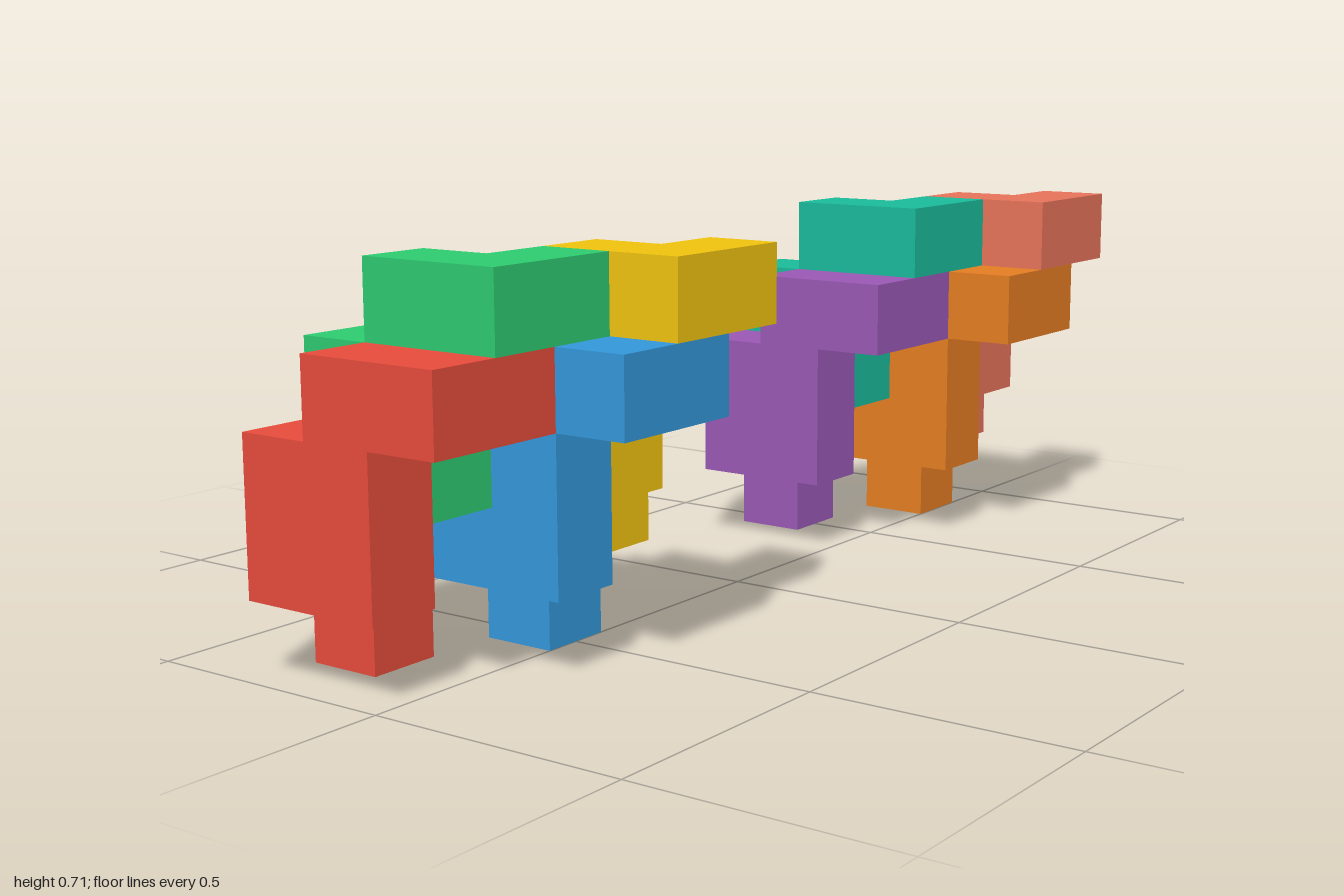
import * as THREE from 'three';
import { mergeGeometries } from 'three/addons/utils/BufferGeometryUtils.js';

const U = 1 / 7; // edge of one cube cell

// Cells [x, y, z] of the one interlocking piece that every block repeats
const CELLS = [
  [0, 3, 2], [1, 3, 2],                       // top hook
  [0, 3, 1], [0, 2, 1], [0, 1, 1],            // middle column
  [0, 2, 0], [0, 1, 0], [1, 1, 0], [1, 0, 0], // back column and foot
];
const DIRECTIONS = [[1, 0, 0], [-1, 0, 0], [0, 1, 0], [0, -1, 0], [0, 0, 1], [0, 0, -1]];

// Closed skin of the piece: a square wherever a cell has no neighbour
function pieceGeometry() {
  const filled = new Set(CELLS.map(String));
  const faces = [];
  const front = new THREE.Vector3(0, 0, 1);
  for (const cell of CELLS) {
    for (const d of DIRECTIONS) {
      if (filled.has(String(cell.map((c, i) => c + d[i])))) continue;
      const turn = d[2] === -1
        ? new THREE.Quaternion(0, 1, 0, 0)
        : new THREE.Quaternion().setFromUnitVectors(front, new THREE.Vector3(...d));
      const centre = cell.map((c, i) => (c + 0.5 + d[i] / 2) * U);
      faces.push(new THREE.PlaneGeometry(U, U).applyQuaternion(turn).translate(...centre));
    }
  }
  return mergeGeometries(faces);
}

// Each piece in a cluster is a shifted copy of the same shape
const PLACES = [
  { name: 'outerLowPiece', at: [0, 0, 0] },
  { name: 'outerHighPiece', at: [1, 1, 0] },
  { name: 'innerLowPiece', at: [2, 0, 1] },
  { name: 'innerHighPiece', at: [3, 1, 1] },
];

function cluster(name, geometry, x, colors) {
  const group = new THREE.Group();
  group.name = name;
  PLACES.forEach((place, i) => {
    const mesh = new THREE.Mesh(geometry, new THREE.MeshStandardMaterial({ color: colors[i] }));
    mesh.name = place.name;
    mesh.position.set(...place.at).multiplyScalar(U);
    group.add(mesh);
  });
  group.position.set(x, 0, -2 * U);
  return group;
}

export function createModel() {
  const model = new THREE.Group();
  model.name = 'interlockingCubePieces';
  const geometry = pieceGeometry();
  model.add(
    cluster('rightCluster', geometry, -1, [0xe74c3c, 0x2ecc71, 0x3498db, 0xf1c40f]),
    cluster('leftCluster', geometry, 2 * U, [0x9b59b6, 0x1abc9c, 0xe67e22, 0xe8735a]),
  );
  return model;
}
